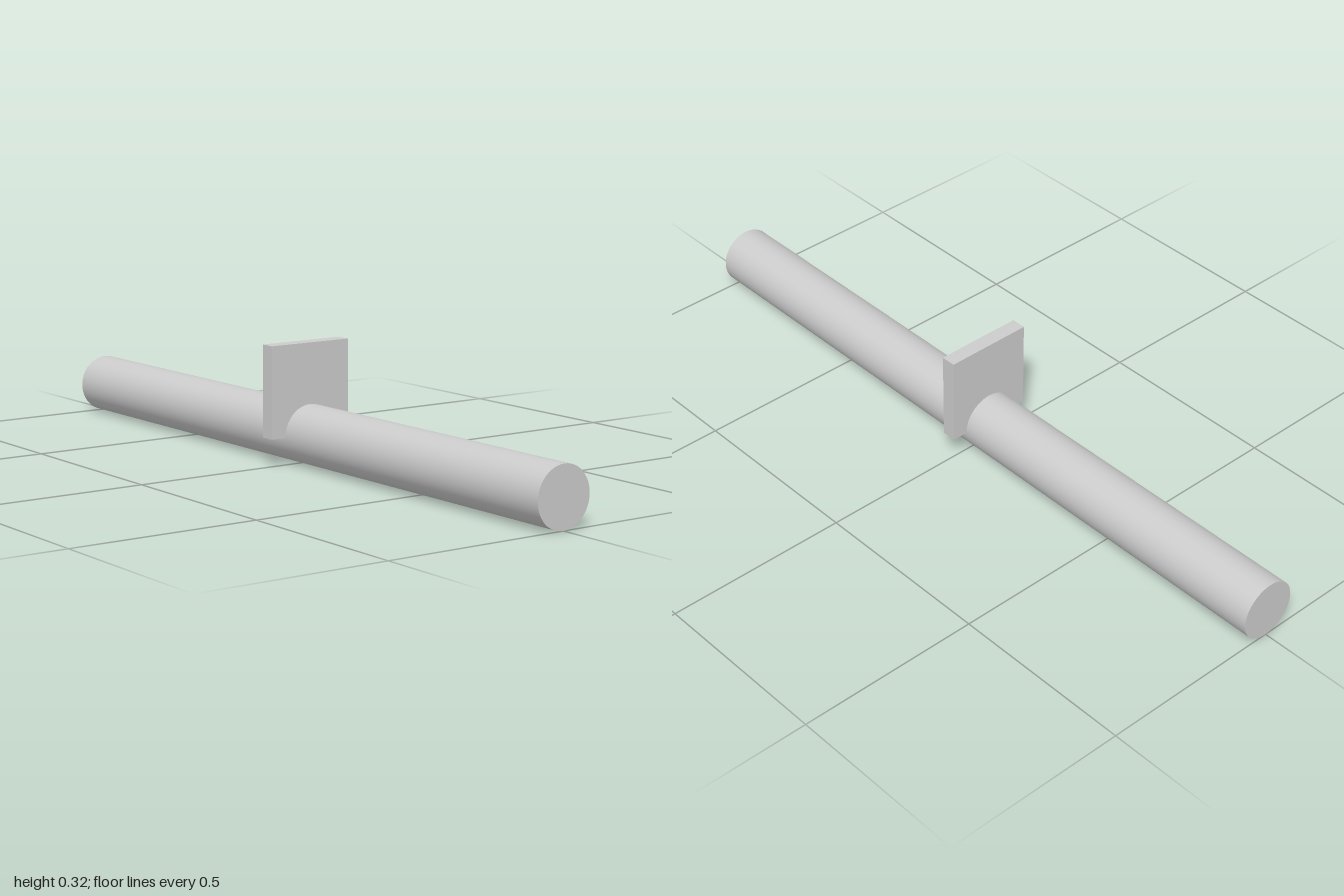
import * as THREE from 'three';

export function createModel() {
  const group = new THREE.Group();
  const material = new THREE.MeshStandardMaterial({ color: 0xcccccc });
  const radius = 0.078;

  // Long round bar lying along z
  const bar = new THREE.Mesh(new THREE.CylinderGeometry(radius, radius, 2, 48), material);
  bar.name = 'bar';
  bar.rotation.x = Math.PI / 2;
  bar.position.y = radius;
  group.add(bar);

  // Square upright plate straddling the middle of the bar
  const plateSize = 0.241;
  const plate = new THREE.Mesh(new THREE.BoxGeometry(plateSize, plateSize, 0.04), material);
  plate.name = 'plate';
  plate.position.y = 0.075 + plateSize / 2;
  group.add(plate);

  return group;
}
